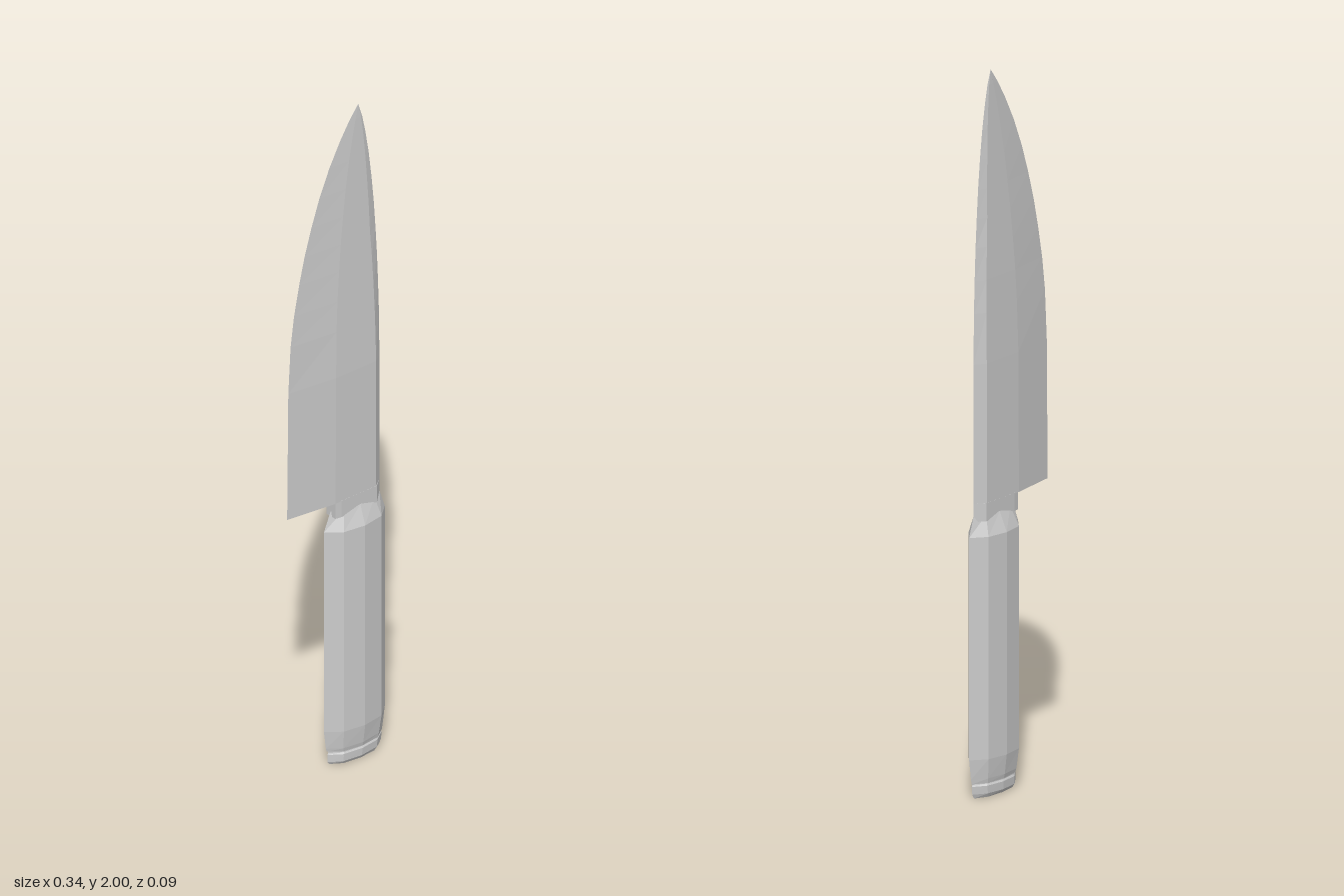
import * as THREE from 'three';

const material = new THREE.MeshStandardMaterial({ color: 0xcccccc, flatShading: true });

// Skin a stack of equal-length rings (listed bottom to top, points running +x -> +z -> -x) and cap both ends
function loft(name, rings) {
  const n = rings[0].length;
  const pos = rings.flat(2);
  const index = [];
  for (let r = 0; r < rings.length - 1; r++) {
    for (let i = 0; i < n; i++) {
      const a = r * n + i, b = r * n + (i + 1) % n;
      index.push(a, a + n, b, b, a + n, b + n);
    }
  }
  const top = (rings.length - 1) * n;
  for (let i = 1; i < n - 1; i++) {
    index.push(0, i, i + 1);
    index.push(top, top + i + 1, top + i);
  }
  const indexed = new THREE.BufferGeometry();
  indexed.setAttribute('position', new THREE.Float32BufferAttribute(pos, 3));
  indexed.setIndex(index);
  const geometry = indexed.toNonIndexed();
  geometry.computeVertexNormals();
  const mesh = new THREE.Mesh(geometry, material);
  mesh.name = name;
  return mesh;
}

// Eight-sided grip section between x0 and x1 with half thickness t
function gripRing(y, x0, x1, t, tilt = 0) {
  const c = (x0 + x1) / 2, h = (x1 - x0) / 2;
  const half = [[1, 0], [0.62, 0.77], [0, 1], [-0.62, 0.77], [-1, 0], [-0.62, -0.77], [0, -1], [0.62, -0.77]];
  return half.map(([u, v]) => [c + u * h, y - u * tilt, v * t]);
}

// Six-sided blade section: pointed spine, flat cheeks, tapering to the cutting edge
function bladeRing(y, edge, spine, t) {
  const w = spine - edge;
  const shoulder = spine - Math.min(0.03, w * 0.12);
  const bevel = edge + w * 0.47;
  return [[spine, y, 0], [shoulder, y, t], [bevel, y, t * 0.95], [edge, y, 0],
    [bevel, y, -t * 0.95], [shoulder, y, -t]];
}

export function createModel() {
  const knife = new THREE.Group();
  knife.name = 'knife';

  // Faceted grip, narrowing at both ends
  knife.add(loft('handle', [
    gripRing(0.043, -0.033, 0.160, 0.034, 0.002),
    gripRing(0.055, -0.036, 0.163, 0.037),
    gripRing(0.11, -0.043, 0.171, 0.044),
    gripRing(0.725, -0.043, 0.171, 0.044),
    gripRing(0.78, -0.02, 0.152, 0.022),
  ]));

  // Butt cap below a thin groove
  knife.add(loft('buttCap', [
    gripRing(0.002, -0.025, 0.150, 0.026, 0.002),
    gripRing(0.012, -0.031, 0.157, 0.032),
    gripRing(0.034, -0.031, 0.160, 0.033),
    gripRing(0.039, -0.028, 0.156, 0.030),
    gripRing(0.045, -0.028, 0.156, 0.030),
  ]));

  // Neck joining grip and blade
  const neck = (y) => [[0.152, y, 0], [0.124, y, 0.022], [0, y, 0.021], [-0.018, y, 0.018],
    [-0.018, y, -0.018], [0, y, -0.021], [0.124, y, -0.022]];
  knife.add(loft('neck', [neck(0.765), neck(0.815)]));

  // Blade stations: height, edge x, spine x, half thickness
  const stations = [
    [0.813, -0.172, 0.152, 0.0215], [1.2, -0.168, 0.152, 0.0215], [1.34, -0.160, 0.150, 0.019],
    [1.43, -0.148, 0.147, 0.017], [1.52, -0.130, 0.143, 0.0148], [1.6, -0.111, 0.138, 0.0125],
    [1.68, -0.087, 0.132, 0.0102], [1.76, -0.059, 0.124, 0.0079], [1.84, -0.024, 0.114, 0.0055],
    [1.91, 0.014, 0.102, 0.0034], [1.96, 0.046, 0.091, 0.0018], [2.0, 0.0765, 0.0775, 0.0003],
  ];
  knife.add(loft('blade', stations.map((s) => bladeRing(...s))));

  return knife;
}
